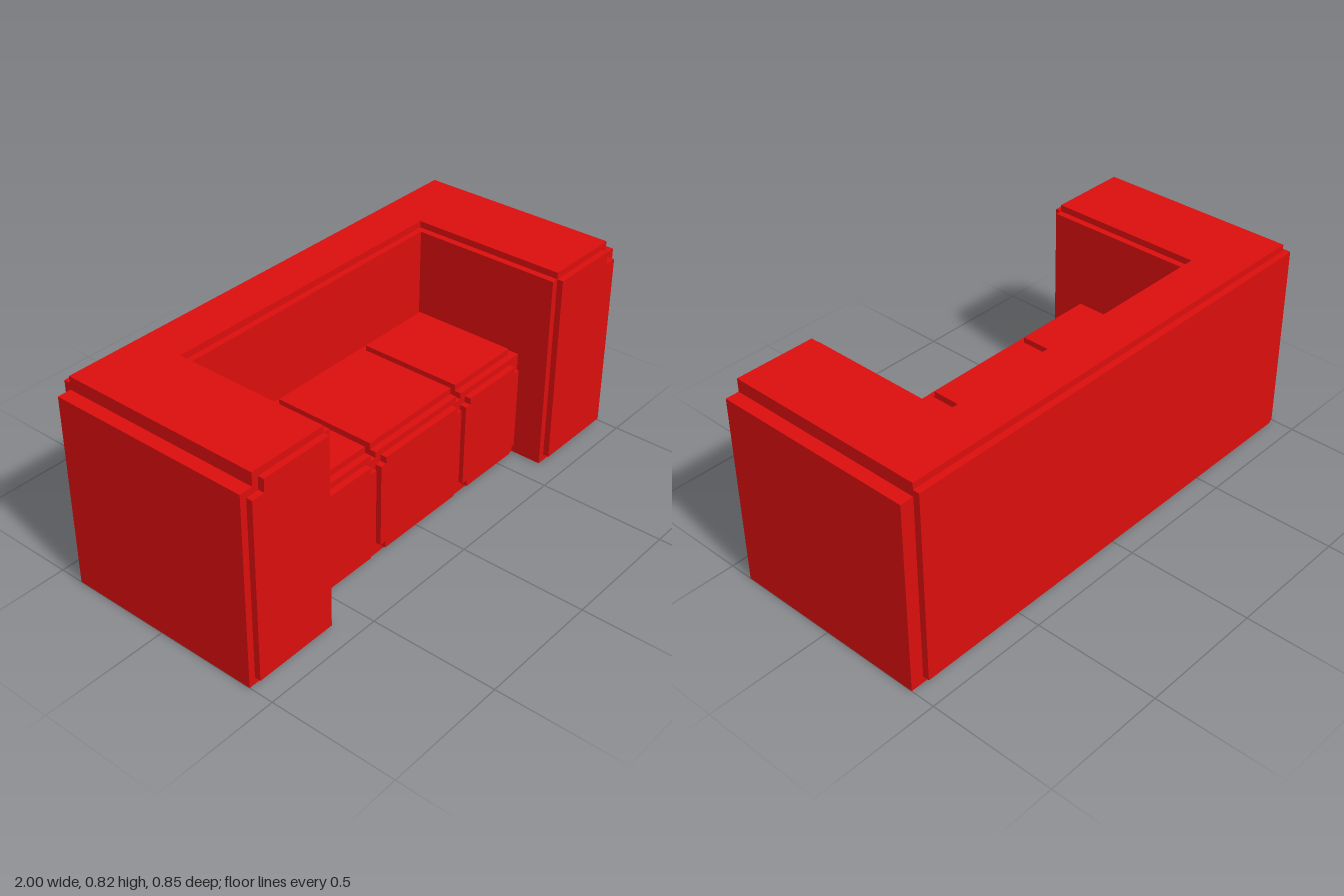
import * as THREE from 'three';

const material = new THREE.MeshStandardMaterial({ color: 0xdd0e0e, flatShading: true });

function addMesh(parent, name, geometry) {
  const mesh = new THREE.Mesh(geometry, material);
  mesh.name = name;
  parent.add(mesh);
}

// Box given by its limits on each axis
function addBox(parent, name, [x0, x1], [y0, y1], [z0, z1]) {
  const g = new THREE.BoxGeometry(x1 - x0, y1 - y0, z1 - z0);
  g.translate((x0 + x1) / 2, (y0 + y1) / 2, (z0 + z1) / 2);
  addMesh(parent, name, g);
}

function extrude(points, depth) {
  const shape = new THREE.Shape(points.map(([x, y]) => new THREE.Vector2(x, y)));
  return new THREE.ExtrudeGeometry(shape, { depth, bevelEnabled: false });
}

// U-shaped layer: back and two arms, open to the front
function addULayer(parent, name, outerX, innerX, innerZ, y0, y1) {
  const back = -0.402, front = 0.402;
  const plan = [
    [-outerX, front], [-innerX, front], [-innerX, innerZ], [innerX, innerZ],
    [innerX, front], [outerX, front], [outerX, back], [-outerX, back],
  ].map(([x, z]) => [x, -z]);
  const g = extrude(plan, y1 - y0);
  g.rotateX(-Math.PI / 2);
  g.translate(0, y0, 0);
  addMesh(parent, name, g);
}

export function createModel() {
  const sofa = new THREE.Group();
  sofa.name = 'sofa';

  // Back and arms, stepped in towards the top
  addULayer(sofa, 'frame', 1, 0.603, -0.197, 0, 0.768);
  addULayer(sofa, 'frameStep', 0.947, 0.603, -0.197, 0.768, 0.794);
  addULayer(sofa, 'topSlab', 0.947, 0.63, -0.222, 0.794, 0.82);

  // Raised panel on the back
  addBox(sofa, 'backPanel', [-0.947, 0.947], [0.027, 0.794], [-0.428, -0.402]);

  // Raised panel on each arm front, notched at its outer top corner
  for (const side of [-1, 1]) {
    const outline = [
      [0.63, 0.027], [0.974, 0.027], [0.974, 0.743],
      [0.922, 0.743], [0.922, 0.794], [0.63, 0.794],
    ].map(([x, y]) => [side * x, y]);
    const g = extrude(outline, 0.024);
    g.translate(0, 0, 0.402);
    addMesh(sofa, side > 0 ? 'leftArmPanel' : 'rightArmPanel', g);
  }

  // Seat base
  addBox(sofa, 'seatBase', [-0.603, 0.603], [0, 0.418], [-0.197, 0.274]);

  // Three cushions, each with a slab, a top pad and a notched front panel
  const seats = [
    { name: 'rightSeat', x: [-0.576, -0.251], slab: [-0.603, -0.251] },
    { name: 'middleSeat', x: [-0.225, 0.225], slab: [-0.225, 0.225] },
    { name: 'leftSeat', x: [0.251, 0.576], slab: [0.251, 0.603] },
  ];
  const n = 0.026;
  for (const { name, x, slab } of seats) {
    const seat = new THREE.Group();
    seat.name = name;
    sofa.add(seat);
    addBox(seat, 'cushionSlab', slab, [0.418, 0.442], [-0.197, 0.274]);
    addBox(seat, 'cushionPad', x, [0.442, 0.467], [-0.17, 0.248]);
    const [a, b] = x, lo = 0.027, hi = 0.418;
    const g = extrude([
      [a + n, lo], [b - n, lo], [b - n, lo + n], [b, lo + n], [b, hi - n], [b - n, hi - n],
      [b - n, hi], [a + n, hi], [a + n, hi - n], [a, hi - n], [a, lo + n], [a + n, lo + n],
    ], 0.026);
    g.translate(0, 0, 0.274);
    addMesh(seat, 'seatFrontPanel', g);
  }
  return sofa;
}
